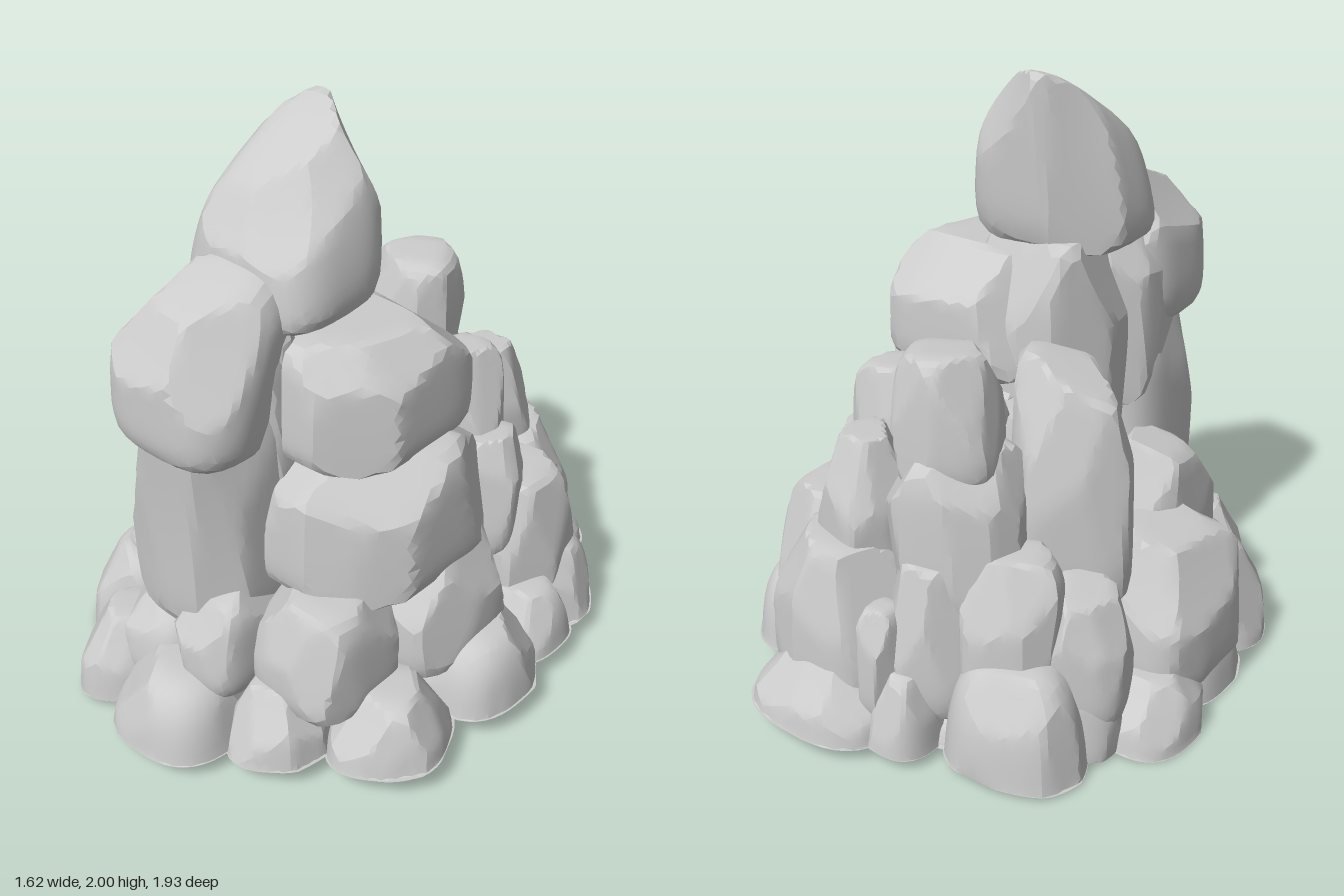
import * as THREE from 'three';
import { toCreasedNormals } from 'three/addons/utils/BufferGeometryUtils.js';

// small seeded random generator
function seeded(seed) {
  let s = seed * 7919 + 17;
  return () => {
    s = (s * 16807) % 2147483647;
    return s / 2147483647;
  };
}

const groundY = (x) => 0.05 + 0.058 * x; // the underside is slightly tilted

// Upright rounded block, chipped by random planes, then fitted into box = [x0, x1, y0, y1, z0, z1].
// p, q: squareness of the upright section and of the plan, cut: one large plane [nx, ny, nz, distance],
// slope: tilt of the top along x and z, taper: narrowing of the top, lean: shift of the top along z
function rockGeometry(box, seed, options) {
  const { p = 5, q = 3.6, yaw = 0, slope = [0, 0], taper = [0.08, 0.08], lean = 0, chips = 13, cut } = options;
  const rnd = seeded(seed);
  for (let i = 0; i < 5; i++) rnd();
  const cuts = [];
  for (let i = 0; i < chips; i++) {
    const a = (i + rnd() * 0.8) * 2.4;
    const n = new THREE.Vector3(Math.cos(a), -0.2 + rnd() * 1.1, Math.sin(a)).normalize();
    cuts.push({ n, d: 0.95 + rnd() * 0.13 });
  }
  if (cut) cuts.push({ n: new THREE.Vector3(cut[0], cut[1], cut[2]).normalize(), d: cut[3] });
  const geo = new THREE.IcosahedronGeometry(1, 8);
  geo.deleteAttribute('uv');
  const pos = geo.attributes.position;
  const v = new THREE.Vector3();
  for (let i = 0; i < pos.count; i++) {
    v.fromBufferAttribute(pos, i);
    const plan = (Math.abs(v.x) ** q + Math.abs(v.z) ** q) ** (1 / q);
    v.multiplyScalar((plan ** p + Math.abs(v.y) ** p) ** (-1 / p));
    for (const { n, d } of cuts) {
      const over = v.dot(n) - d;
      if (over > 0) v.addScaledVector(n, -over);
    }
    const up = Math.max(0, (v.y + 1) / 2);
    const x = v.x * (1 - taper[0] * up * up);
    const z = v.z * (1 - taper[1] * up * up) + lean * v.y;
    const y = v.y + up * (slope[0] * v.x + slope[1] * v.z);
    pos.setXYZ(i, x * Math.cos(yaw) + z * Math.sin(yaw), y, z * Math.cos(yaw) - x * Math.sin(yaw));
  }
  geo.computeBoundingBox();
  const { min, max } = geo.boundingBox;
  const fit = (t, a, b, lo, hi) => lo + ((t - a) / (b - a)) * (hi - lo);
  for (let i = 0; i < pos.count; i++) {
    const x = fit(pos.getX(i), min.x, max.x, box[0], box[1]);
    const y = fit(pos.getY(i), min.y, max.y, box[2], box[3]);
    const z = fit(pos.getZ(i), min.z, max.z, box[4], box[5]);
    pos.setXYZ(i, x, Math.max(y, groundY(x)), z);
  }
  return toCreasedNormals(geo, 0.3);
}

export function createModel() {
  const model = new THREE.Group();
  model.name = 'rockFormation';
  const stone = new THREE.MeshStandardMaterial({ color: 0xcccccc });
  stone.name = 'grey stone';
  let seed = 1;

  const add = (name, list) => {
    const group = new THREE.Group();
    group.name = name;
    for (const [box, options] of list) {
      const mesh = new THREE.Mesh(rockGeometry(box, seed++, options), stone);
      mesh.name = name + 'Rock';
      group.add(mesh);
    }
    model.add(group);
  };

  // hidden mass that closes the gaps between the rocks
  add('core', [
    [[-0.65, 0.66, -0.3, 0.3, -0.76, 0.76], { q: 2.2 }],
    [[-0.48, 0.5, 0, 0.56, -0.62, 0.56], { q: 2.5 }],
    [[-0.3, 0.38, 0.2, 0.95, -0.42, 0.42], { q: 2.5 }],
  ]);

  // leaning peak and the columns that carry it
  add('peak', [
    [[-0.27, 0.26, 1.4, 2.0, -0.03, 0.46],
      { p: 6, q: 3.4, slope: [0, -0.62], taper: [0.38, 0.0], lean: -0.08, chips: 5, cut: [-1, 0, -0.9, 0.9] }],
    [[-0.25, 0.24, 0.5, 1.47, -0.1, 0.46], { p: 7, yaw: 0.25, taper: [0.02, 0.04], cut: [-1, 0, -1, 0.98] }],
    [[-0.27, 0.19, 0.8, 1.6, 0.22, 0.6], { p: 7, slope: [0, -0.1] }],
  ]);

  // front pillar with its cap
  add('frontPillar', [
    [[-0.28, 0.21, 1.04, 1.62, 0.32, 0.79], { p: 4.5, q: 3.2, slope: [0, -0.36], taper: [0.16, 0], chips: 7 }],
    [[-0.28, 0.18, 0.37, 1.3, 0.27, 0.77], { p: 8, taper: [0, -0.3], chips: 9 }],
  ]);

  // stacked blocks on the right
  add('rightStack', [
    [[-0.08, 0.49, 0.98, 1.4, -0.17, 0.45], { p: 7, q: 5, taper: [0.05, 0.05], chips: 7, cut: [1, 0, 1, 0.98] }],
    [[-0.05, 0.59, 0.55, 1.03, -0.23, 0.53], { p: 7, q: 5, taper: [0.05, 0.04], chips: 9, cut: [1, 0, 1, 0.98] }],
    [[0.22, 0.66, 0.2, 0.67, -0.19, 0.3], { taper: [0.1, 0.06] }],
    [[0.18, 0.56, 0.2, 0.62, 0.22, 0.66], { q: 4 }],
    [[-0.07, 0.23, 0.2, 0.6, 0.42, 0.78], { p: 4, slope: [0.16, -0.2] }],
  ]);

  // slanted blocks on the left
  add('leftStack', [
    [[-0.55, -0.09, 0.4, 1.2, -0.42, 0.07],
      { p: 8, q: 5, yaw: 0.6, slope: [0.14, 0.04], taper: [0.06, 0.04], chips: 8 }],
    [[-0.53, -0.2, 0.25, 0.79, 0.0, 0.48], { q: 5, slope: [0.16, -0.1], yaw: 0.15 }],
    [[-0.75, -0.32, 0.05, 0.61, -0.22, 0.34], { slope: [0.22, 0], taper: [0.08, 0.1] }],
    [[-0.6, -0.25, 0.0, 0.5, 0.15, 0.52], { slope: [0.2, -0.18], taper: [0.1, 0.1] }],
    [[-0.66, -0.36, 0.1, 0.58, -0.54, -0.18], { slope: [0.15, 0.15], yaw: 0.5 }],
  ]);

  // stepped blocks at the back
  add('backStack', [
    [[-0.26, 0.1, 0.85, 1.28, -0.64, -0.3], { q: 4, yaw: 0.5, slope: [0, -0.04], taper: [0.12, 0.14] }],
    [[-0.34, 0.16, 0.45, 0.98, -0.7, -0.26], { p: 6, yaw: 0.3 }],
    [[-0.1, 0.22, 0.5, 1.08, -0.43, -0.1], { slope: [0, -0.1] }],
    [[0.08, 0.43, 0.5, 1.1, -0.48, -0.18], { q: 4, yaw: 0.4 }],
    [[0.02, 0.34, 0.4, 0.97, -0.73, -0.42], { p: 6, q: 4, yaw: -0.3 }],
    [[0.26, 0.55, 0.4, 0.84, -0.44, -0.14], { yaw: 0.4 }],
    [[0.18, 0.64, 0.1, 0.66, -0.66, -0.18], { yaw: 0.25, taper: [0.12, 0.08] }],
    [[0.0, 0.44, 0.05, 0.65, -0.86, -0.48], { taper: [0.1, 0.08] }],
    [[-0.26, 0.06, 0.1, 0.65, -0.78, -0.42], { yaw: 0.4 }],
    [[-0.5, -0.14, 0.1, 0.68, -0.68, -0.32], { yaw: 0.4 }],
    [[-0.08, 0.07, 0.1, 0.5, -0.84, -0.65], { p: 4 }],
  ]);

  // ring of low boulders around the foot
  const low = { p: 4, q: 2.7, taper: [0.24, 0.24] };
  const turned = { ...low, yaw: 0.6 };
  add('footRing', [
    [[-0.22, 0.24, -0.15, 0.31, 0.5, 0.96], low],
    [[-0.49, -0.12, -0.15, 0.32, 0.46, 0.89], turned],
    [[-0.72, -0.3, -0.2, 0.34, 0.2, 0.65], turned],
    [[-0.81, -0.46, -0.15, 0.21, -0.4, 0.02], low],
    [[-0.76, -0.45, -0.2, 0.25, -0.1, 0.32], low],
    [[-0.65, -0.4, -0.1, 0.38, -0.54, -0.26], turned],
    [[-0.64, -0.14, -0.25, 0.37, -0.78, -0.36], { ...low, yaw: 0.4 }],
    [[-0.2, 0.05, -0.15, 0.3, -0.87, -0.58], low],
    [[-0.06, 0.48, -0.15, 0.3, -0.97, -0.5], low],
    [[0.34, 0.72, -0.2, 0.35, -0.69, -0.3], turned],
    [[0.42, 0.75, -0.15, 0.31, -0.47, -0.12], low],
    [[0.4, 0.81, -0.15, 0.34, -0.24, 0.21], low],
    [[0.38, 0.79, -0.15, 0.31, 0.16, 0.62], { ...low, yaw: 0.5 }],
    [[0.13, 0.49, -0.15, 0.31, 0.42, 0.8], turned],
    [[-0.36, 0.0, 0.1, 0.4, 0.42, 0.78], low],
  ]);

  return model;
}
